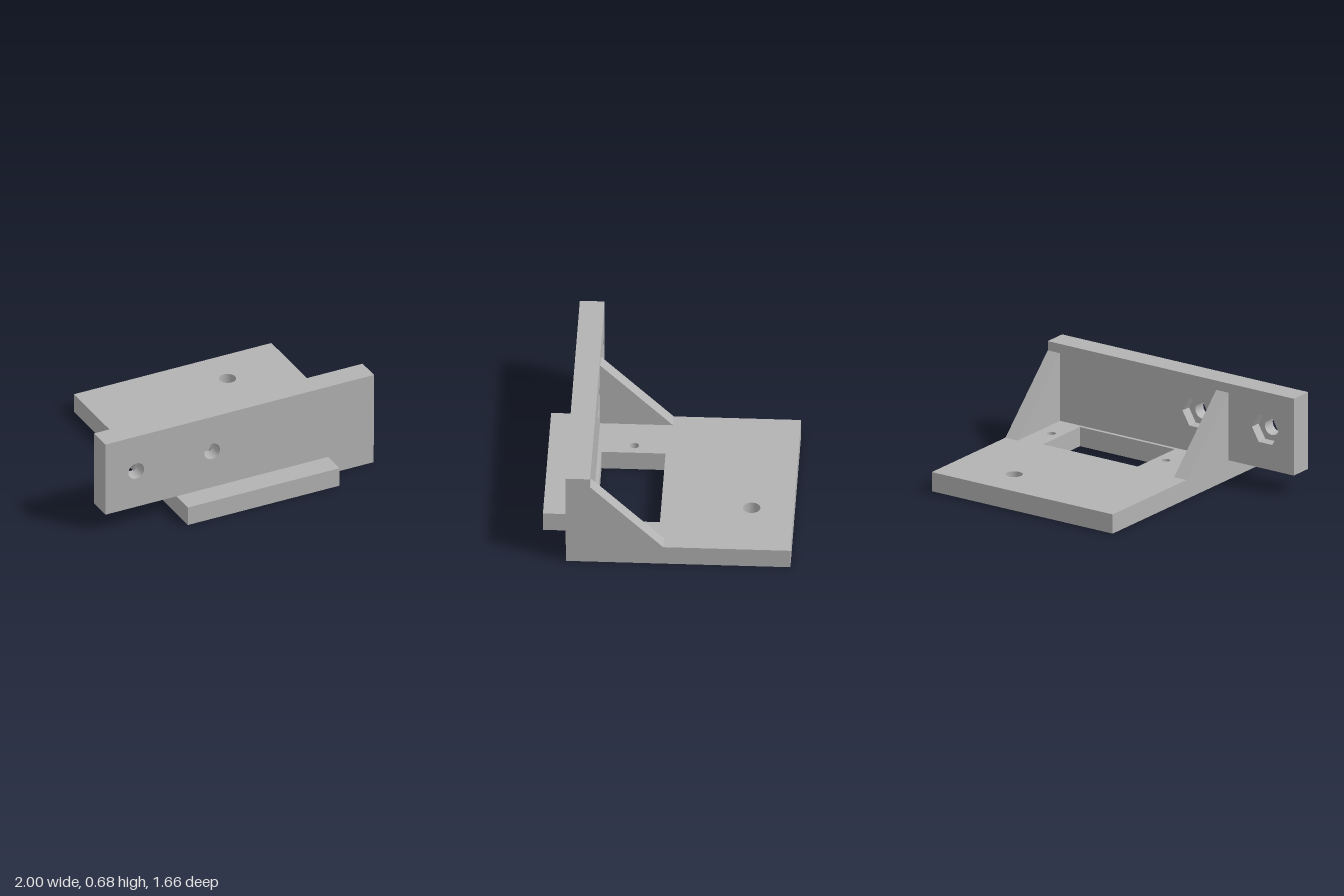
import * as THREE from 'three';

const grey = new THREE.MeshStandardMaterial({ color: 0xb3b3b3 });
grey.name = 'grey';

const polygon = (points) => new THREE.Shape(points.map(([x, y]) => new THREE.Vector2(x, y)));

function roundHole(x, y, r) {
  return new THREE.Path().absarc(x, y, r, 0, Math.PI * 2, true);
}

// Hexagon with two corners pointing sideways
function hexHole(x, y, r) {
  const points = [];
  for (let i = 0; i < 6; i++) {
    const a = -i * Math.PI / 3;
    points.push(new THREE.Vector2(x + r * Math.cos(a), y + r * Math.sin(a)));
  }
  return new THREE.Path(points);
}

function plate(name, shape, depth, holes = []) {
  shape.holes.push(...holes);
  const geometry = new THREE.ExtrudeGeometry(shape, { depth, bevelEnabled: false, curveSegments: 32 });
  const mesh = new THREE.Mesh(geometry, grey);
  mesh.name = name;
  return mesh;
}

export function createModel() {
  const group = new THREE.Group();
  group.name = 'mountingBracket';
  const baseTop = 0.135, wallBack = 0.5, wallFront = 0.665, wallTop = 0.675;

  // Base with front tongue, window and screw holes; drawn with shape y = -z
  const window = new THREE.Path([[-0.05, -0.05], [0.72, -0.05], [0.72, -0.475], [-0.05, -0.475]]
    .map(([x, y]) => new THREE.Vector2(x, y)));
  const base = plate('basePlate', polygon([
    [-0.47, 0.83], [-0.47, -0.83], [0.66, -0.83], [0.66, -0.66], [1, -0.66], [1, 0.83],
  ]), baseTop, [
    window,
    roundHole(0.53, 0.55, 0.058),
    roundHole(-0.13, -0.26, 0.03),
    roundHole(0.8, -0.26, 0.03),
  ]);
  base.geometry.rotateX(-Math.PI / 2);
  group.add(base);

  // Upright wall: bolt holes in the front layer, nut pockets in the back layer
  const outline = [[-1, baseTop], [1, baseTop], [1, wallTop], [-1, wallTop]];
  const boltX = [-0.77, -0.205], boltY = 0.41, pocketDepth = 0.075;
  const front = plate('wallFront', polygon(outline), wallFront - wallBack - pocketDepth,
    boltX.map((x) => roundHole(x, boltY, 0.058)));
  front.position.z = wallBack + pocketDepth;
  const back = plate('wallBackWithNutPockets', polygon(outline), pocketDepth,
    boltX.map((x) => hexHole(x, boltY, 0.11)));
  back.position.z = wallBack;
  group.add(front, back);

  // Triangular ribs behind the wall; drawn with shape x = z
  for (const [name, x] of [['leftRib', 1], ['rightRib', -0.37]]) {
    const rib = plate(name, polygon([[0.015, baseTop], [wallBack, baseTop], [wallBack, 0.61]]), 0.1);
    rib.geometry.rotateY(-Math.PI / 2);
    rib.position.x = x;
    group.add(rib);
  }
  return group;
}
